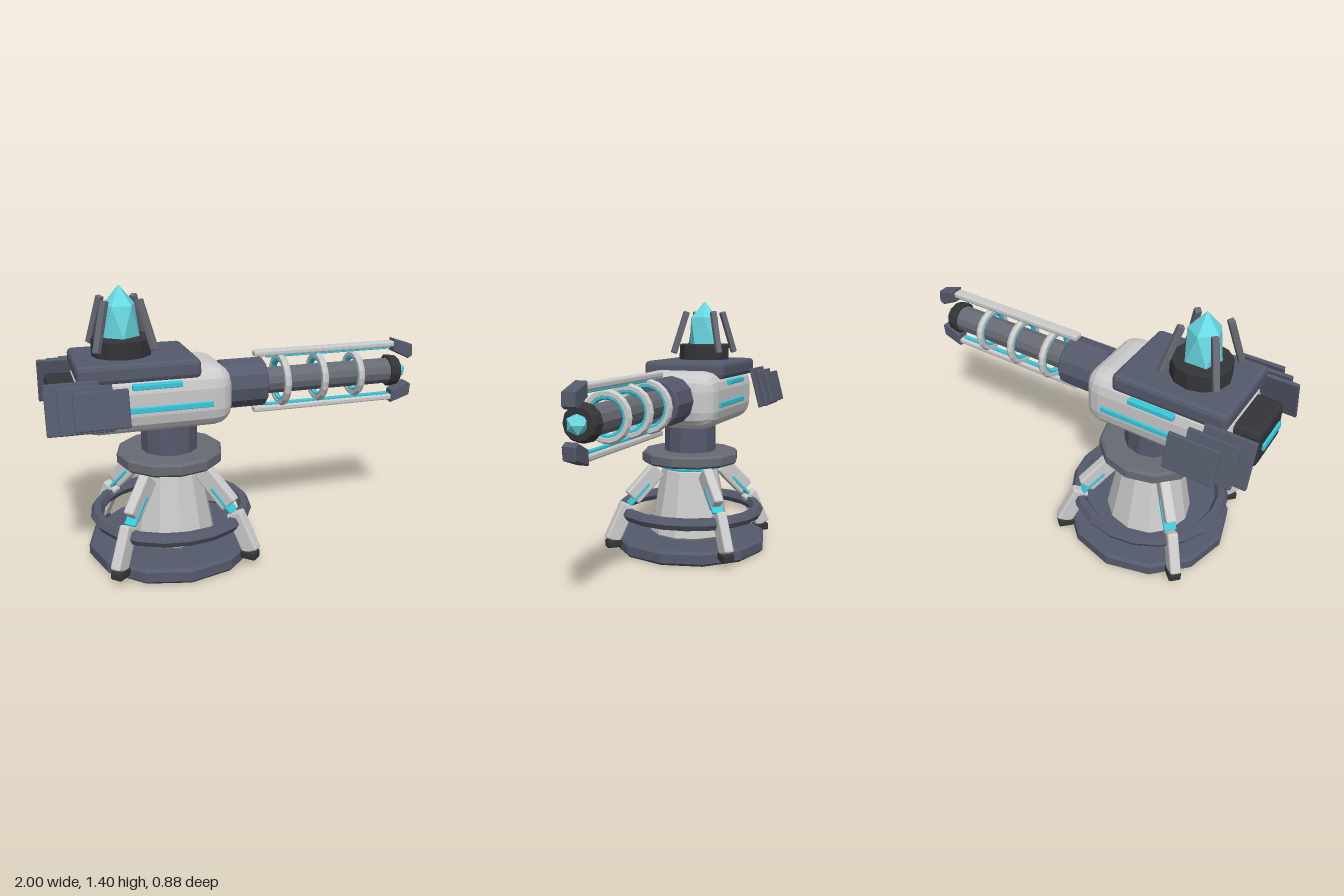
import * as THREE from 'three';
import { RoundedBoxGeometry } from 'three/addons/geometries/RoundedBoxGeometry.js';
import { ConvexGeometry } from 'three/addons/geometries/ConvexGeometry.js';

const mat = (color) => new THREE.MeshStandardMaterial({ color, flatShading: true });
const shell = mat(0xcccccc), navy = mat(0x555a6c), steel = mat(0x686a74);
const black = mat(0x343538), glow = mat(0x35cade), gem = mat(0x6adbe5);

function add(parent, name, geometry, material, x = 0, y = 0, z = 0) {
  const mesh = new THREE.Mesh(geometry, material);
  mesh.name = name;
  mesh.position.set(x, y, z);
  parent.add(mesh);
  return mesh;
}

const box = (w, h, d, r = 0.01, s = 1) => new RoundedBoxGeometry(w, h, d, s, r);

// Disc or drum with chamfered rims
function drum(r0, r1, h, c = 0.01, sides = 12) {
  const pts = [[0, 0], [r0 - c, 0], [r0, c], [r1, h - c], [r1 - c, h], [0, h]];
  return new THREE.LatheGeometry(pts.map((p) => new THREE.Vector2(...p)), sides);
}

// Pointed five-sided crystal: two twisted rings between a tip and a foot
function crystal(rLow, yLow, rHigh, yHigh, tip, foot) {
  const pts = [new THREE.Vector3(0, tip, 0), new THREE.Vector3(0, foot, 0)];
  for (let i = 0; i < 5; i++) {
    const a = (i * Math.PI * 2) / 5, b = a + Math.PI / 5;
    pts.push(new THREE.Vector3(rHigh * Math.sin(a), yHigh, -rHigh * Math.cos(a)));
    pts.push(new THREE.Vector3(rLow * Math.sin(b), yLow, -rLow * Math.cos(b)));
  }
  return new ConvexGeometry(pts);
}

function createPedestal() {
  const g = new THREE.Group();
  g.name = 'pedestal';
  g.position.x = -0.377;
  add(g, 'basePlate', drum(0.44, 0.44, 0.08, 0.015), navy);
  add(g, 'pedestalCone', drum(0.228, 0.163, 0.39, 0.015), shell, 0, 0.078);
  add(g, 'glowBand', drum(0.172, 0.172, 0.04, 0.003), glow, 0, 0.46);
  add(g, 'turntable', drum(0.275, 0.275, 0.068, 0.012), steel, 0, 0.494);
  add(g, 'neck', drum(0.147, 0.147, 0.2, 0.005), navy, 0, 0.555);
  const ring = add(g, 'braceRing', new THREE.TorusGeometry(0.389, 0.035, 6, 20), navy, 0, 0.22);
  ring.rotation.x = Math.PI / 2;

  // Four bent legs on the diagonals
  for (let i = 0; i < 4; i++) {
    const leg = new THREE.Group();
    leg.name = 'leg';
    leg.rotation.y = Math.PI / 4 + (i * Math.PI) / 2;
    g.add(leg);
    add(leg, 'upperLeg', box(0.1, 0.22, 0.055), shell, 0.28, 0.385).rotation.z = Math.PI / 4;
    add(leg, 'legGlow', box(0.016, 0.16, 0.064, 0.003), glow, 0.318, 0.328).rotation.z = Math.PI / 4;
    add(leg, 'lowerLeg', box(0.088, 0.22, 0.055), shell, 0.43, 0.175).rotation.z = 0.46;
    add(leg, 'foot', box(0.085, 0.045, 0.065), black, 0.468, 0.058);
  }
  return g;
}

function createHead() {
  const g = new THREE.Group();
  g.name = 'head';
  add(g, 'body', box(0.77, 0.31, 0.465, 0.1, 2), shell, -0.47, 0.865);
  add(g, 'topPlate', box(0.59, 0.092, 0.47, 0.022), navy, -0.552, 1.022);
  add(g, 'rearBlock', box(0.2, 0.2, 0.295, 0.025), black, -0.875, 0.865);
  add(g, 'rearGlow', box(0.03, 0.035, 0.2, 0.004), glow, -0.973, 0.865);

  for (const s of [-1, 1]) {
    add(g, 'longSideGlow', box(0.43, 0.028, 0.04, 0.004), glow, -0.418, 0.843, s * 0.222);
    add(g, 'shortSideGlow', box(0.24, 0.026, 0.05, 0.004), glow, -0.475, 0.957, s * 0.224);
    // Staggered fins, leaning in at the top
    [[-0.875, 0.892, 0.273, 0.24], [-0.822, 0.896, 0.325, 0.215], [-0.758, 0.906, 0.383, 0.178]]
      .forEach(([x, y, z, h]) => {
        add(g, 'sideFin', box(0.25, h, 0.02, 0.006), navy, x, y, s * z).rotation.x = -s * 0.26;
      });
  }

  // Crystal in its socket, held by four claws
  const top = new THREE.Group();
  top.name = 'crystalMount';
  top.position.x = -0.602;
  g.add(top);
  add(top, 'socket', drum(0.147, 0.147, 0.095, 0.006), black, 0, 1.062);
  add(top, 'crystal', crystal(0.092, 1.155, 0.082, 1.31, 1.405, 1.08), gem);
  for (let i = 0; i < 4; i++) {
    const arm = new THREE.Group();
    arm.name = 'clawArm';
    arm.rotation.y = Math.PI / 4 + (i * Math.PI) / 2;
    top.add(arm);
    add(arm, 'claw', box(0.032, 0.25, 0.032, 0.005), steel, 0.155, 1.225).rotation.z = 0.33;
  }
  return g;
}

function createCannon() {
  const g = new THREE.Group();
  g.name = 'cannon';
  g.position.y = 0.872;
  const along = (name, geometry, material, x) => {
    add(g, name, geometry, material, x).rotation.z = -Math.PI / 2;
  };
  along('barrelMount', drum(0.13, 0.13, 0.23, 0.008), navy, -0.105);
  along('barrel', drum(0.071, 0.071, 0.78, 0.004), steel, 0.1);
  along('muzzle', drum(0.089, 0.08, 0.062, 0.008), black, 0.848);
  along('muzzleCrystal', crystal(0.045, -0.022, 0.045, 0.022, 0.05, -0.05), gem, 0.918);

  // Coils shrinking toward the muzzle
  [[0.228, 0.122], [0.439, 0.114], [0.652, 0.106]].forEach(([x, r]) => {
    add(g, 'coil', new THREE.TorusGeometry(r, 0.019, 6, 18), shell, x).rotation.y = Math.PI / 2;
    add(g, 'coilGlow', new THREE.TorusGeometry(r - 0.014, 0.015, 6, 18), glow, x).rotation.y = Math.PI / 2;
  });

  // Upper and lower rails with hooked tips
  const hook = new THREE.Shape([[0.885, 0.172], [0.985, 0.138], [0.99, 0.085], [0.97, 0.073], [0.885, 0.113]]
    .map((p) => new THREE.Vector2(...p)));
  const hookGeometry = new THREE.ExtrudeGeometry(hook, {
    depth: 0.054, bevelEnabled: true, bevelSize: 0.006, bevelThickness: 0.006, bevelSegments: 1,
  }).translate(0, 0, -0.027);
  for (const turn of [0, Math.PI]) {
    const rail = new THREE.Group();
    rail.name = turn ? 'lowerRail' : 'upperRail';
    rail.rotation.x = turn;
    g.add(rail);
    add(rail, 'railBar', box(0.815, 0.03, 0.054, 0.008), shell, 0.485, 0.15);
    add(rail, 'railGlow', box(0.72, 0.014, 0.022, 0.003), glow, 0.505, 0.13);
    add(rail, 'railHook', hookGeometry, navy);
  }
  return g;
}

export function createModel() {
  const model = new THREE.Group();
  model.name = 'crystalTurret';
  model.add(createPedestal(), createHead(), createCannon());
  return model;
}
